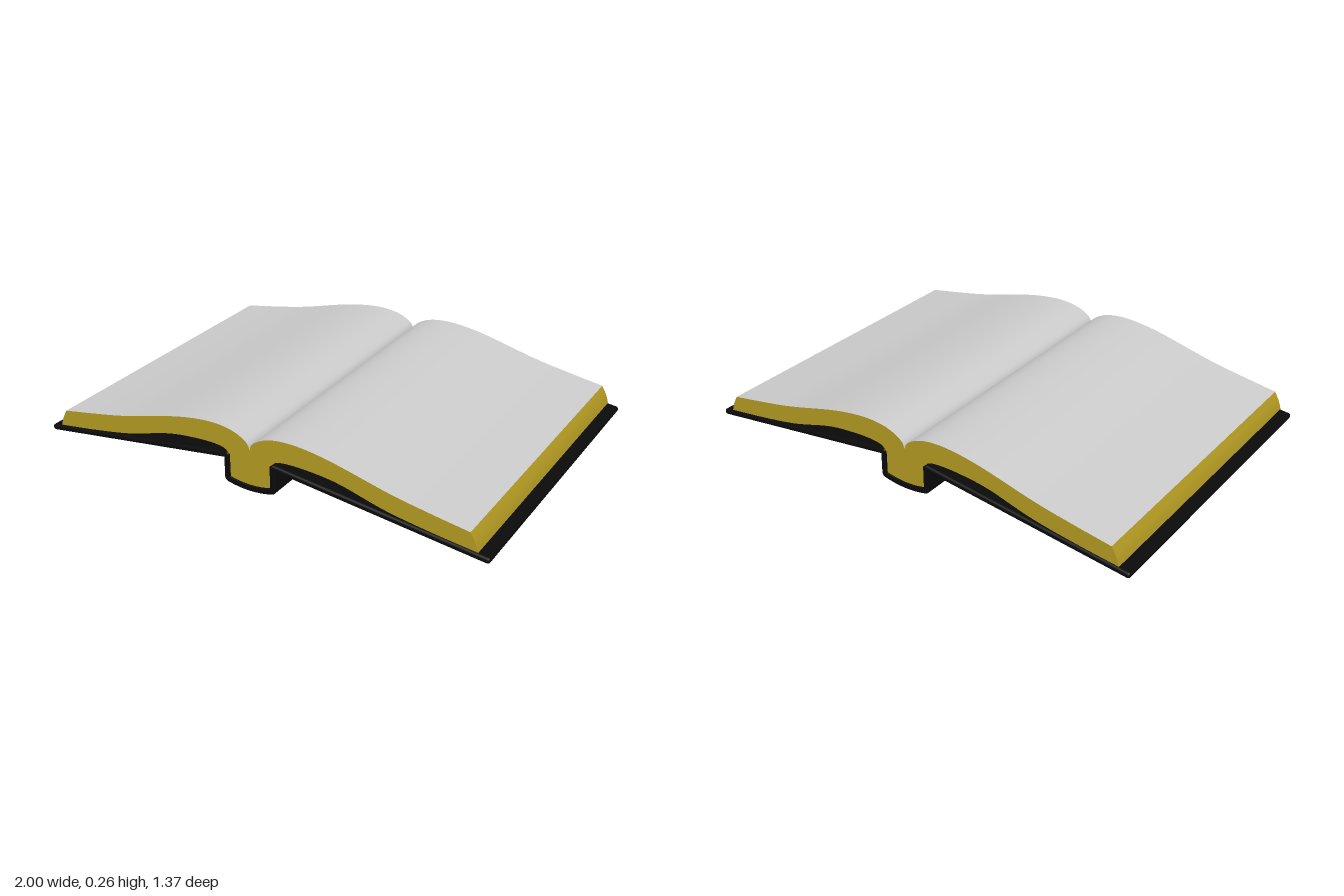
import * as THREE from 'three';
import { RoundedBoxGeometry } from 'three/addons/geometries/RoundedBoxGeometry.js';

const HALF_PAGE = 0.677, HALF_COVER = 0.684;

const black = new THREE.MeshStandardMaterial({ color: 0x0a0a0a });
const gold = new THREE.MeshStandardMaterial({ color: 0xb39a22, side: THREE.DoubleSide });
const paper = new THREE.MeshStandardMaterial({ color: 0xcccccc, side: THREE.DoubleSide });

const spline = (pts, n) => new THREE.SplineCurve(pts.map(p => new THREE.Vector2(...p))).getPoints(n);
// mirrored across x = 0, reversed so the outline keeps running counterclockwise
const mirror = pts => pts.map(p => new THREE.Vector2(-p.x, p.y)).reverse();

function addMesh(parent, name, geometry, material) {
  const mesh = new THREE.Mesh(geometry, material);
  mesh.name = name;
  parent.add(mesh);
  return mesh;
}

// surface swept along z from a counterclockwise run of outline points
function ribbon(pts, halfDepth) {
  const pos = [], idx = [];
  pts.forEach((p, i) => {
    pos.push(p.x, p.y, -halfDepth, p.x, p.y, halfDepth);
    if (i) {
      const a = 2 * i - 2;
      idx.push(a, a + 2, a + 1, a + 2, a + 3, a + 1);
    }
  });
  const g = new THREE.BufferGeometry();
  g.setAttribute('position', new THREE.Float32BufferAttribute(pos, 3));
  g.setIndex(idx);
  g.computeVertexNormals();
  return g;
}

function createPages() {
  const pages = new THREE.Group();
  pages.name = 'pages';

  // outline of the +x half: bound back, underside, fore edge, top
  const back = spline([[0, 0.024], [0.05, 0.028], [0.094, 0.038]], 6);
  const side = [new THREE.Vector2(0.094, 0.038), new THREE.Vector2(0.094, 0.13)];
  const under = spline([[0.094, 0.13], [0.108, 0.156], [0.15, 0.169], [0.25, 0.169],
    [0.39, 0.152], [0.58, 0.1], [0.76, 0.068], [0.953, 0.042]], 36);
  const fore = spline([[0.953, 0.042], [0.941, 0.078], [0.92, 0.116]], 6);
  const top = spline([[0.92, 0.116], [0.76, 0.143], [0.6, 0.174], [0.39, 0.228], [0.28, 0.25],
    [0.19, 0.259], [0.12, 0.256], [0.065, 0.243], [0.025, 0.222], [0.008, 0.205], [0, 0.183]], 44);
  const half = [back, side, under, fore, top];

  // paper surfaces and gilded fore edges
  const parts = [['pageBack', back, gold], ['pageBackSide', side, gold], ['pageUnderside', under, paper],
    ['foreEdge', fore, gold], ['openPage', top, paper]];
  for (const [name, pts, material] of parts) {
    addMesh(pages, name + 'Left', ribbon(pts, HALF_PAGE), material);
    addMesh(pages, name + 'Right', ribbon(mirror(pts), HALF_PAGE), material);
  }

  // gilded head and tail
  const right = half.flatMap(run => run.slice(0, -1));
  right.push(top[top.length - 1]);
  const outline = [...right, ...mirror(right).slice(1, -1)];
  const cap = new THREE.ShapeGeometry(new THREE.Shape(outline));
  addMesh(pages, 'tailEdge', cap, gold).position.z = HALF_PAGE;
  const head = addMesh(pages, 'headEdge', cap, gold);
  head.rotation.y = Math.PI;
  head.position.z = -HALF_PAGE;
  return pages;
}

function createCover() {
  const cover = new THREE.Group();
  cover.name = 'cover';

  // sloping boards
  const inner = new THREE.Vector2(0.093, 0.138), outer = new THREE.Vector2(1, 0.021);
  const length = inner.distanceTo(outer);
  const angle = Math.atan2(outer.y - inner.y, outer.x - inner.x);
  for (const s of [1, -1]) {
    const board = addMesh(cover, s > 0 ? 'boardLeft' : 'boardRight',
      new RoundedBoxGeometry(length, 0.025, 2 * HALF_COVER, 3, 0.011), black);
    board.position.set(s * (inner.x + outer.x) / 2, (inner.y + outer.y) / 2, 0);
    board.rotation.z = s * angle;
  }

  // channel-shaped spine with a gently bowed bottom
  const b = 0.004;
  const shape = new THREE.Shape();
  shape.moveTo(-0.112, 0.138);
  shape.lineTo(-0.112, 0.04);
  shape.quadraticCurveTo(-0.112, 0.03, -0.1, 0.025);
  shape.quadraticCurveTo(0, 0.0, 0.1, 0.025);
  shape.quadraticCurveTo(0.112, 0.03, 0.112, 0.04);
  shape.lineTo(0.112, 0.138);
  shape.lineTo(0.096, 0.138);
  shape.lineTo(0.096, 0.042);
  shape.quadraticCurveTo(0, 0.016, -0.096, 0.042);
  shape.lineTo(-0.096, 0.138);
  const depth = 2 * (HALF_COVER - b);
  const geometry = new THREE.ExtrudeGeometry(shape, {
    depth, bevelEnabled: true, bevelSize: b, bevelThickness: b, bevelSegments: 2, curveSegments: 14 });
  geometry.translate(0, 0, -depth / 2);
  addMesh(cover, 'spine', geometry, black);

  // low raised bands under the spine
  for (const z of [-0.04, -0.31, -0.58]) {
    addMesh(cover, 'spineBand', new RoundedBoxGeometry(0.08, 0.014, 0.055, 2, 0.003), black)
      .position.set(0, 0.007, z);
  }
  return cover;
}

export function createModel() {
  const book = new THREE.Group();
  book.name = 'openBook';
  book.add(createCover(), createPages());
  return book;
}
